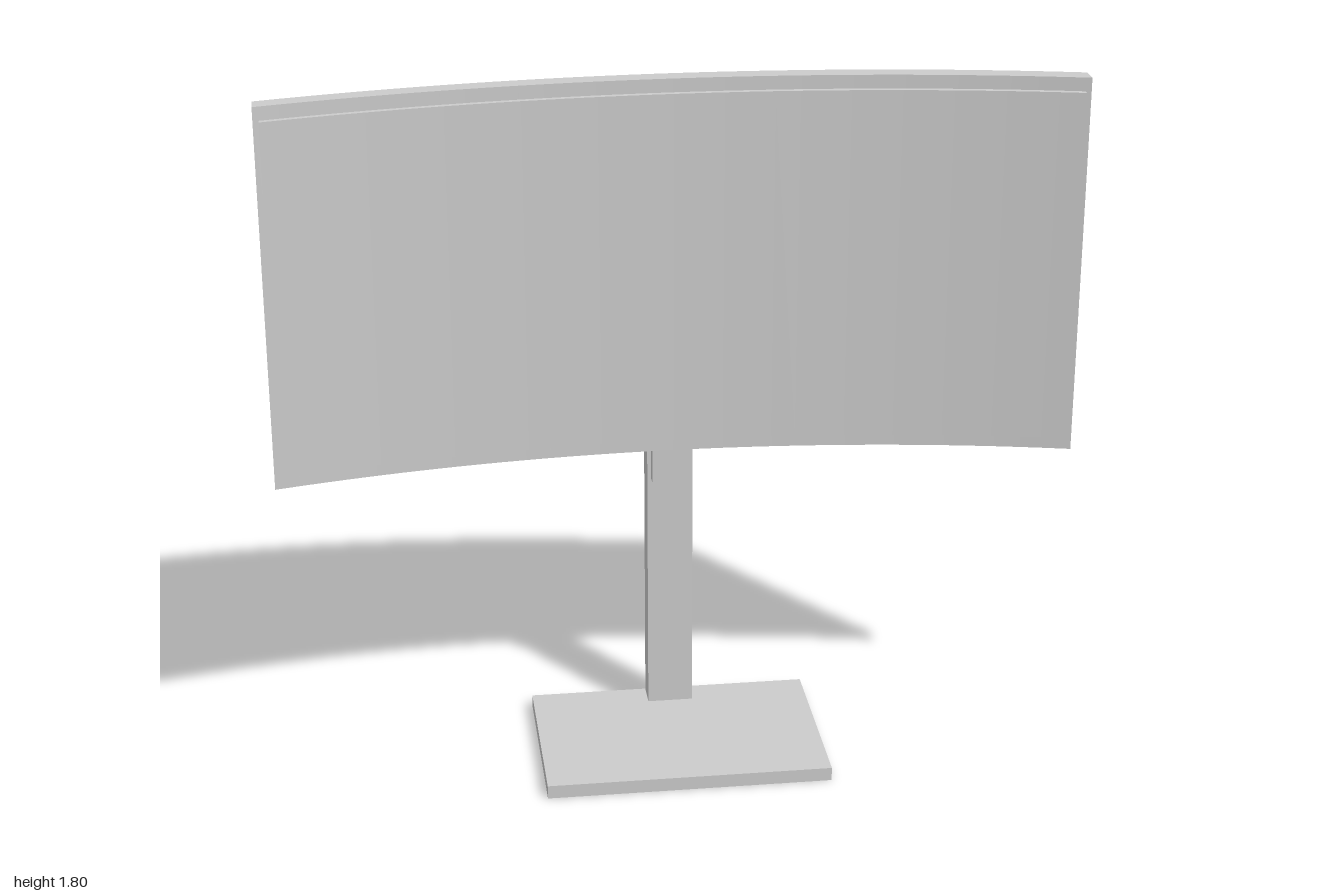
import * as THREE from 'three';

const material = new THREE.MeshStandardMaterial({ color: 0xcccccc });

function add(parent, name, geometry, x, y, z) {
  const mesh = new THREE.Mesh(geometry, material);
  mesh.name = name;
  mesh.position.set(x, y, z);
  parent.add(mesh);
  return mesh;
}

// Box resting on height y0
function box(parent, name, w, h, d, y0, z) {
  return add(parent, name, new THREE.BoxGeometry(w, h, d), 0, y0 + h / 2, z);
}

// Curved slab: one circular arc shifted straight back and forth, extruded upwards
const RADIUS = 4.25, HALF = 1.025, SEGMENTS = 32;
const arc = (x) => Math.sqrt(RADIUS ** 2 - HALF ** 2) - Math.sqrt(RADIUS ** 2 - x * x);

function curvedSlab(half, height, back, front) {
  const xs = Array.from({ length: SEGMENTS + 1 }, (_, i) => -half + (2 * half * i) / SEGMENTS);
  const outline = [
    ...xs.map((x) => new THREE.Vector2(x, -(arc(x) + front))),
    ...xs.reverse().map((x) => new THREE.Vector2(x, -(arc(x) + back))),
  ];
  const geometry = new THREE.ExtrudeGeometry(new THREE.Shape(outline), { depth: height, bevelEnabled: false });
  return geometry.rotateX(-Math.PI / 2);
}

export function createModel() {
  const model = new THREE.Group();
  model.name = 'curvedMonitor';

  // Everything is turned slightly about the vertical axis
  const monitor = new THREE.Group();
  monitor.name = 'turnedMonitor';
  monitor.rotation.y = THREE.MathUtils.degToRad(-14);
  model.add(monitor);

  // Stand
  box(monitor, 'base', 0.743, 0.036, 0.498, 0, 0);
  box(monitor, 'post', 0.12, 0.745, 0.07, 0.036, -0.21);
  box(monitor, 'bracket', 0.1, 0.125, 0.03, 0.7, -0.157);

  // Screen housing and the slightly raised display
  add(monitor, 'housing', curvedSlab(HALF, 0.993, -0.025, 0.025), 0, 0.81, 0);
  add(monitor, 'display', curvedSlab(1.01, 0.923, 0.005, 0.04), 0, 0.845, 0);

  // Round mount on the back
  const disc = new THREE.CylinderGeometry(0.08, 0.08, 0.032, 32).rotateX(Math.PI / 2);
  add(monitor, 'rearMount', disc, 0, 1.307, -0.166);

  return model;
}
